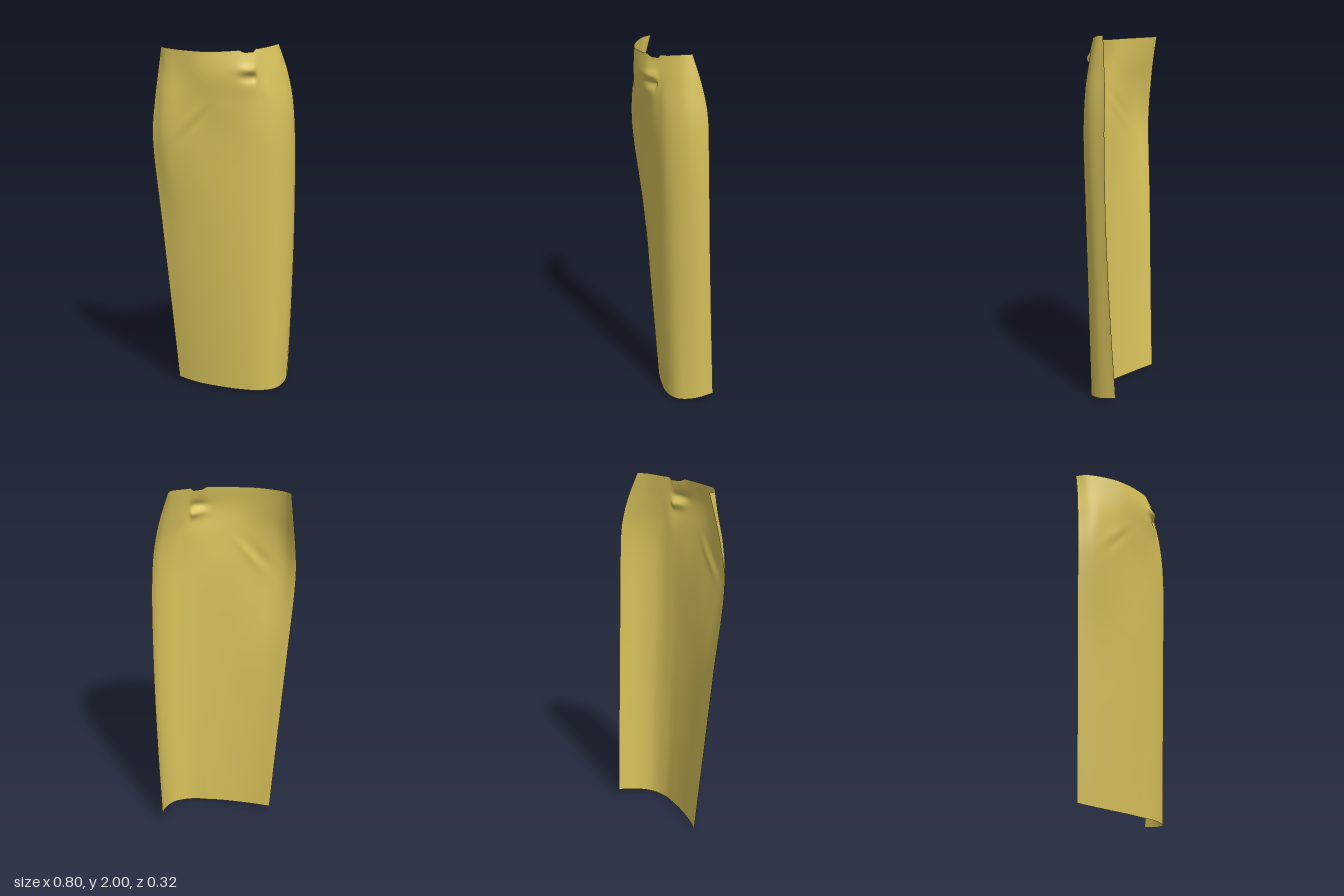
import * as THREE from 'three';

// Plan outlines [x, z] from the right-hand (-x) edge round to the left-hand (+x) edge, top to bottom
const SECTIONS = [
  { y: 2.0, p: [[-.355, -.034], [-.325, .025], [-.19, .115], [-.105, .14], [0, .143], [.1, .125], [.2, .07], [.275, 0], [.293, -.045]] },
  { y: 1.85, p: [[-.37, -.005], [-.32, .055], [-.19, .12], [-.1, .15], [.01, .157], [.12, .143], [.21, .095], [.305, .015], [.343, -.08]] },
  { y: 1.7, p: [[-.387, .02], [-.325, .085], [-.2, .121], [-.09, .139], [.03, .142], [.15, .125], [.265, .085], [.345, .005], [.374, -.102]] },
  { y: 1.5, p: [[-.4, .04], [-.33, .092], [-.2, .115], [-.08, .12], [.05, .123], [.17, .117], [.28, .088], [.363, 0], [.39, -.106]] },
  { y: 1.0, p: [[-.36, .007], [-.27, .047], [-.16, .075], [-.05, .095], [.07, .105], [.18, .102], [.29, .07], [.37, -.02], [.395, -.117]] },
  { y: 0.5, p: [[-.316, -.024], [-.23, .014], [-.13, .046], [-.025, .07], [.085, .084], [.19, .086], [.295, .052], [.365, -.035], [.386, -.137]] },
  { y: 0, p: [[-.275, -.055], [-.19, -.015], [-.1, .016], [0, .042], [.1, .06], [.2, .068], [.3, .035], [.355, -.05], [.37, -.16]] },
];
// Height offsets of the uneven upper rim and of the curved lower hem
const RIM = [-.016, -.02, -.027, -.03, -.028, -.022, -.016, -.003, 0];
const HEM = [.022, .012, .006, .003, 0, 0, .004, .018, .04];

const bump = (x, y, cx, cy, w, h) => Math.exp(-(((x - cx) / w) ** 2) - ((y - cy) / h) ** 2);

// Pinched fold, small creases and the notch in the upper rim
function wrinkle(v) {
  const { x, y } = v;
  const side = 1 - THREE.MathUtils.smoothstep(x, .165, .19);
  v.z += side * (.016 * bump(x, y, .15, 1.872, .06, .025) - .02 * bump(x, y, .16, 1.83, .06, .025));
  v.z -= .006 * bump(x, y, .2, 1.78, .03, .1);
  const d = x + .13 - (y - 1.6) * .8;
  v.z -= .004 * Math.exp(-((d / .03) ** 2) - ((y - 1.58) / .08) ** 2);
  v.z += .004 * Math.exp(-(((d + .06) / .04) ** 2) - ((y - 1.58) / .08) ** 2);
  const notch = THREE.MathUtils.smoothstep(x, .08, .12) * (1 - THREE.MathUtils.smoothstep(x, .162, .172));
  v.y -= .015 * notch * THREE.MathUtils.smoothstep(y, 1.9, 1.98);
}

// Loft a smooth open sheet through the sections
function clothGeometry(cols, rows) {
  const last = SECTIONS.length - 1;
  const curves = SECTIONS.map(({ y, p }, s) => new THREE.CatmullRomCurve3(p.map(([x, z], i) =>
    new THREE.Vector3(x, y + (s === 0 ? RIM[i] : s === last ? HEM[i] : 0), z))));
  const positions = [], index = [];
  for (let c = 0; c <= cols; c++) {
    const column = new THREE.CatmullRomCurve3(curves.map(k => k.getPoint(c / cols)));
    for (let r = 0; r <= rows; r++) {
      const v = column.getPoint(r / rows);
      wrinkle(v);
      positions.push(v.x, Math.max(0, v.y), v.z);
      if (c < cols && r < rows) {
        const a = c * (rows + 1) + r, b = a + rows + 1;
        index.push(a, a + 1, b, b, a + 1, b + 1);
      }
    }
  }
  const g = new THREE.BufferGeometry();
  g.setAttribute('position', new THREE.Float32BufferAttribute(positions, 3));
  g.setIndex(index);
  g.computeVertexNormals();
  return g;
}

export function createModel() {
  const group = new THREE.Group();
  group.name = 'clothPanel';
  const cloth = new THREE.MeshStandardMaterial({ color: 0xd6c05a, side: THREE.DoubleSide });
  cloth.name = 'yellow cloth';
  const sheet = new THREE.Mesh(clothGeometry(120, 120), cloth);
  sheet.name = 'curvedClothSheet';
  group.add(sheet);
  return group;
}
